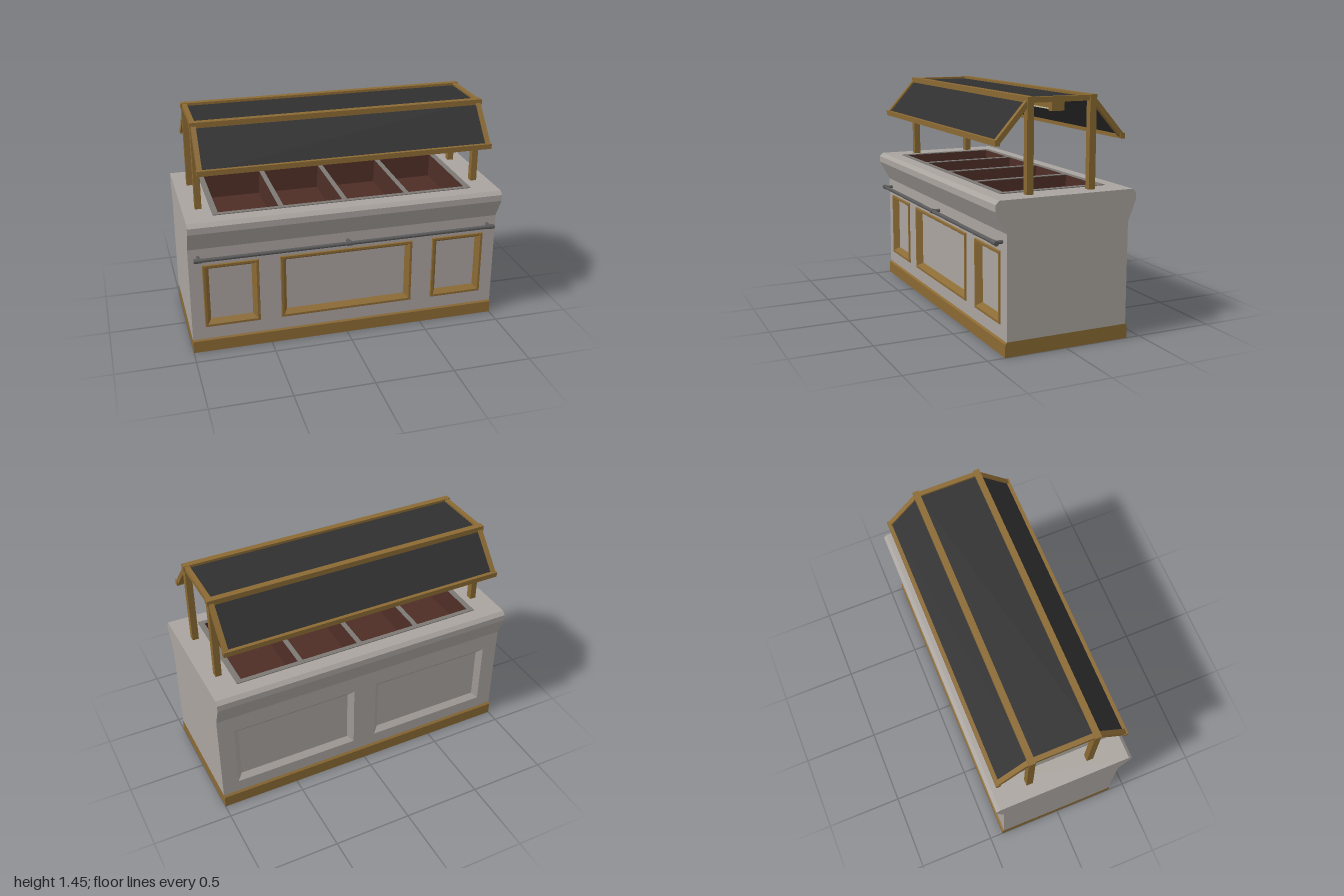
import * as THREE from 'three';

export function createModel() {
  const root = new THREE.Group();
  const mat = (name, color) => {
    const m = new THREE.MeshStandardMaterial({ color });
    m.name = name;
    return m;
  };
  const stone = mat('stone', 0xaaa49f);
  const wood = mat('wood', 0x8b6a34);
  const glass = mat('darkGlass', 0x303030);
  const steel = mat('railSteel', 0x5a5a5a);
  const rimMetal = mat('rimMetal', 0x7c7874);
  const wellBrown = mat('wellBrown', 0x4e2d26);
  const lampWhite = mat('lampWhite', 0xc8c8a8);

  const add = (name, geo, material, x = 0, y = 0, z = 0, parent = root) => {
    const m = new THREE.Mesh(geo, material);
    m.name = name;
    m.position.set(x, y, z);
    parent.add(m);
    return m;
  };
  const box = (name, material, w, h, d, x, y, z) =>
    add(name, new THREE.BoxGeometry(w, h, d), material, x, y, z);

  // Extrudes a (z, y) profile along x from x0 to x1
  const profileX = (pts, x0, x1) => {
    const shape = new THREE.Shape(pts.map(([z, y]) => new THREE.Vector2(-z, y)));
    return new THREE.ExtrudeGeometry(shape, { depth: x1 - x0, bevelEnabled: false })
      .rotateY(Math.PI / 2).translate(x0, 0, 0);
  };

  // Rectangle path [x0, y0, x1, y1]
  const rectPoints = ([x0, y0, x1, y1], i = 0) => [
    [x0 + i, y0 + i], [x1 - i, y0 + i], [x1 - i, y1 - i], [x0 + i, y1 - i]];
  const rectPath = (r, Type) => new Type(rectPoints(r).map(p => new THREE.Vector2(...p)));

  // Plate in xy with rectangular openings
  const plate = (outer, holes, depth) => {
    const shape = rectPath(outer, THREE.Shape);
    holes.forEach(h => shape.holes.push(rectPath(h, THREE.Path)));
    return new THREE.ExtrudeGeometry(shape, { depth, bevelEnabled: false });
  };

  // Skin over nested rectangles, steps = [inset, z], from outside inwards
  const steppedRect = (rect, steps, cap = false) => {
    const pos = [];
    const loops = steps.map(([i, z]) => rectPoints(rect, i).map(p => [...p, z]));
    const quad = (a, b, c, d) => pos.push(...a, ...b, ...c, ...a, ...c, ...d);
    for (let k = 0; k + 1 < loops.length; k++)
      for (let i = 0; i < 4; i++) {
        const j = (i + 1) % 4;
        quad(loops[k][i], loops[k][j], loops[k + 1][j], loops[k + 1][i]);
      }
    if (cap) quad(...loops[loops.length - 1]);
    const g = new THREE.BufferGeometry();
    g.setAttribute('position', new THREE.Float32BufferAttribute(pos, 3));
    g.computeVertexNormals();
    return g;
  };

  // Plinth with a small chamfer
  add('plinth', profileX([[0.39, 0], [0.39, 0.078], [0.378, 0.09], [-0.4, 0.09],
    [-0.412, 0.078], [-0.412, 0]], -1, 1), wood);

  // Counter body: notched middle for the wells, solid ends
  const front = [[0.35, 0.08], [0.35, 0.711], [0.38, 0.711], [0.45, 0.84], [0.45, 0.88], [0.428, 0.903]];
  const back = [[-0.428, 0.903], [-0.45, 0.88], [-0.45, 0.84], [-0.4, 0.711], [-0.37, 0.711], [-0.37, 0.08]];
  const notch = [[0.33, 0.903], [0.33, 0.7], [-0.33, 0.7], [-0.33, 0.903]];
  add('counterMiddle', profileX([...front, ...notch, ...back], -0.82, 0.82), stone);
  for (const [x0, x1] of [[-1, -0.82], [0.82, 1]])
    add('counterEnd', profileX([...front, ...back], x0, x1), stone);

  // Front wall with three wood-framed recessed panels
  const wall = [-1, 0.08, 1, 0.711];
  const frontPanels = [[-0.918, 0.17, -0.567, 0.6], [-0.433, 0.17, 0.433, 0.6], [0.567, 0.17, 0.918, 0.6]];
  const shrink = ([a, b, c, d], i) => [a + i, b + i, c - i, d - i];
  add('frontWall', plate(wall, frontPanels.map(r => shrink(r, 0.012)), 0.03), stone, 0, 0, 0.35);
  for (const r of frontPanels)
    add('panelFrame', steppedRect(r, [[0, 0], [0.004, 0.009], [0.018, 0.009], [0.042, -0.029]]),
      wood, 0, 0, 0.38);

  // Back wall with two bevelled recesses
  const backPanels = [[-0.895, 0.17, -0.077, 0.6], [0.077, 0.17, 0.895, 0.6]];
  const backWall = new THREE.Group();
  backWall.name = 'backWall';
  backWall.position.z = -0.37;
  backWall.rotation.y = Math.PI;
  root.add(backWall);
  add('backWallPlate', plate(wall, backPanels, 0.03), stone, 0, 0, 0, backWall);
  for (const r of backPanels)
    add('backPanelBevel', steppedRect(r, [[0, 0.03], [0.035, 0.001]]), stone, 0, 0, 0, backWall);

  // Serving wells set in a metal rim
  const wells = new THREE.Group();
  wells.name = 'servingWells';
  wells.position.y = 0.9;
  wells.rotation.x = -Math.PI / 2;
  root.add(wells);
  const openings = [0, 1, 2, 3].map(i => {
    const cx = (i - 1.5) * 0.405;
    return [cx - 0.187, -0.31, cx + 0.187, 0.31];
  });
  add('wellRim', plate([-0.83, -0.34, 0.83, 0.34], openings, 0.008), rimMetal, 0, 0, 0, wells);
  for (const r of openings)
    add('well', steppedRect(r, [[0, 0.004], [0.008, -0.15]], true), wellBrown, 0, 0, 0, wells);

  // Front rail on three brackets
  const rod = (r, len) => new THREE.CylinderGeometry(r, r, len, 12);
  add('rail', rod(0.012, 1.9).rotateZ(Math.PI / 2), steel, 0, 0.657, 0.43);
  for (const x of [-0.94, 0, 0.94]) {
    add('railBracket', rod(0.011, 0.06).rotateX(Math.PI / 2), steel, x, 0.657, 0.405);
    add('railCollar', rod(0.015, 0.03).rotateZ(Math.PI / 2), steel, x, 0.657, 0.43);
  }
  for (const x of [-0.96, 0.96])
    add('railCap', rod(0.015, 0.02).rotateZ(Math.PI / 2), steel, x, 0.657, 0.43);

  // Bar sloping in the zy plane between two points
  const slope = (name, material, w, t, x, [z0, y0], [z1, y1]) => {
    const m = box(name, material, w, t, Math.hypot(z1 - z0, y1 - y0), x, (y0 + y1) / 2, (z0 + z1) / 2);
    m.rotation.x = Math.atan2(y0 - y1, z1 - z0);
  };

  // Canopy: posts, beams, rafters and dark glass
  for (const s of [-1, 1]) {
    for (const x of [-0.9, 0.9]) {
      box('post', wood, 0.04, 0.53, 0.042, x, 1.165, s * 0.2);
      slope('rafter', wood, 0.03, 0.03, x, [s * 0.2, 1.43], [s * 0.4, 1.205]);
    }
    box('topBeam', wood, 1.85, 0.034, 0.04, 0, 1.434, s * 0.2);
    box('eaveBeam', wood, 1.84, 0.032, 0.03, 0, 1.204, s * 0.402);
    box('endBeam', wood, 0.03, 0.032, 0.38, s * 0.902, 1.432, 0);
    slope('slopedGlass', glass, 1.79, 0.01, 0, [s * 0.2, 1.43], [s * 0.4, 1.205]);
  }
  box('topGlass', glass, 1.79, 0.01, 0.38, 0, 1.43, 0);

  // Lamp hanging under the canopy
  box('lampHousing', wood, 1.7, 0.05, 0.08, 0, 1.401, 0);
  box('lampStrip', lampWhite, 1.66, 0.009, 0.07, 0, 1.372, 0);
  for (const x of [-0.85, 0.85]) box('lampEnd', wood, 0.04, 0.066, 0.082, x, 1.393, 0);

  return root;
}
